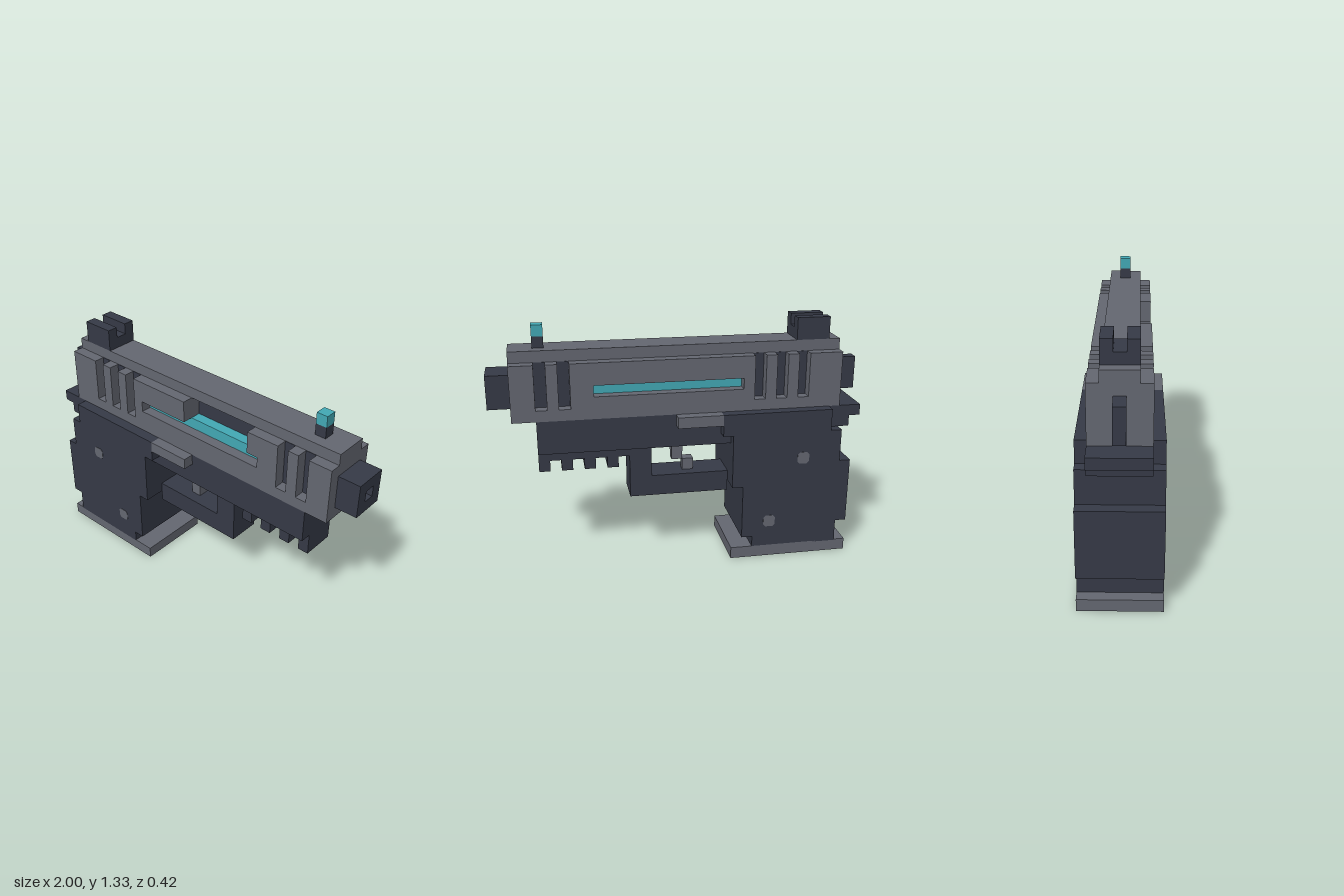
import * as THREE from 'three';

const gray = new THREE.MeshStandardMaterial({ color: 0x656872 });
gray.name = 'slideGray';
const dark = new THREE.MeshStandardMaterial({ color: 0x363a47 });
dark.name = 'frameDark';
const cyan = new THREE.MeshStandardMaterial({ color: 0x43aab6 });
cyan.name = 'accentCyan';

export function createModel() {
  const model = new THREE.Group();
  model.name = 'blockyPistol';

  const add = (name, geometry, material) => {
    const mesh = new THREE.Mesh(geometry, material);
    mesh.name = name;
    model.add(mesh);
    return mesh;
  };
  // Box given by its limits on each axis
  const box = (name, material, x0, x1, y0, y1, z0, z1) => {
    const mesh = add(name, new THREE.BoxGeometry(x1 - x0, y1 - y0, z1 - z0), material);
    mesh.position.set((x0 + x1) / 2, (y0 + y1) / 2, (z0 + z1) / 2);
    return mesh;
  };
  const toPoints = (list) => list.map(([x, y]) => new THREE.Vector2(x, y));
  const rect = (x0, x1, y0, y1) => toPoints([[x0, y0], [x1, y0], [x1, y1], [x0, y1]]);
  // Side profile extruded between two z planes
  const slab = (name, material, outline, z0, z1, holes = []) => {
    const shape = new THREE.Shape(outline);
    for (const hole of holes) shape.holes.push(new THREE.Path(hole));
    const geometry = new THREE.ExtrudeGeometry(shape, { depth: z1 - z0, bevelEnabled: false });
    geometry.translate(0, 0, z0);
    return add(name, geometry, material);
  };

  // Slide: core with the ejection port cut into its +z half
  const port = [-0.03, 0.39];
  const slot = [-0.34, 0.455, 0.97, 1.03];
  box('slideCore', gray, -0.88, 0.88, 0.85, 1.21, -0.09, 0.03);
  slab('slidePortLayer', gray, rect(-0.88, 0.88, 0.85, 1.21), 0.03, 0.09, [rect(...port, 1.0, 1.15)]);
  box('ejectionPortFloor', dark, ...port, 1.03, 1.15, 0.028, 0.034);
  box('lightStrip', cyan, ...slot, -0.092, 0.092);

  // Slide side plates with grip grooves and a slot for the light strip
  const rearGrooves = [-0.7, -0.58, -0.46];
  const frontGrooves = [0.575, 0.695];
  const grooveWidth = 0.06;
  const cut = (x) => [[x + grooveWidth, 1.15], [x + grooveWidth, 0.91], [x, 0.91], [x, 1.15]];
  const cutsRightToLeft = (list) => [...list].reverse().flatMap(cut);
  const portCut = [[0.39, 1.15], [0.39, 1.03], [0.455, 1.03], [0.455, 0.97],
    [-0.34, 0.97], [-0.34, 1.03], [-0.03, 1.03], [-0.03, 1.15]];
  const plateOutline = (middle) => toPoints([
    [-0.88, 0.85], [0.88, 0.85], [0.88, 1.15],
    ...cutsRightToLeft(frontGrooves), ...middle, ...cutsRightToLeft(rearGrooves),
    [-0.88, 1.15],
  ]);
  slab('slidePlatePortSide', gray, plateOutline(portCut), 0.09, 0.15);
  slab('slidePlatePlainSide', gray, plateOutline([]), -0.15, -0.09, [rect(...slot)]);
  for (const side of [1, -1]) {
    for (const x of [...rearGrooves, ...frontGrooves]) {
      const floor = box('grooveFloor', dark, x, x + grooveWidth, 0.91, 1.15, -0.002, 0.002);
      floor.position.z = side * 0.09;
    }
  }

  // Muzzle with a square bore, and hammer
  box('muzzleBase', dark, 0.88, 0.94, 0.91, 1.09, -0.09, 0.09);
  const muzzle = slab('muzzle', dark, rect(-0.09, 0.09, 0.91, 1.09), 0, 0.06, [rect(-0.03, 0.03, 0.97, 1.03)]);
  muzzle.rotation.y = Math.PI / 2;
  muzzle.position.x = 0.94;
  box('hammer', dark, -1.0, -0.88, 0.91, 1.09, -0.03, 0.03);

  // Sights
  box('rearSightBase', dark, -0.82, -0.64, 1.21, 1.27, -0.09, 0.09);
  box('rearSightPost', dark, -0.82, -0.64, 1.27, 1.33, 0.03, 0.09);
  box('rearSightPost', dark, -0.82, -0.64, 1.27, 1.33, -0.09, -0.03);
  box('frontSightBase', dark, 0.695, 0.755, 1.21, 1.27, -0.03, 0.03);
  box('frontSightTip', cyan, 0.695, 0.755, 1.27, 1.33, -0.03, 0.03);

  // Frame with stepped tang
  slab('frame', dark, toPoints([
    [-1.0, 0.85], [-1.0, 0.79], [-0.94, 0.79], [-0.94, 0.73], [-0.5, 0.73],
    [-0.5, 0.67], [0.755, 0.67], [0.755, 0.85],
  ]), -0.15, 0.15);

  // Stepped grip
  slab('grip', dark, toPoints([
    [-0.82, 0.85], [-0.82, 0.73], [-0.88, 0.73], [-0.88, 0.55], [-0.94, 0.55], [-0.94, 0.185],
    [-0.88, 0.185], [-0.88, 0.06], [-0.395, 0.06], [-0.395, 0.125], [-0.335, 0.125], [-0.335, 0.43],
    [-0.275, 0.43], [-0.275, 0.73], [-0.22, 0.73], [-0.22, 0.85],
  ]), -0.21, 0.21);
  box('magazinePlate', gray, -0.94, -0.275, 0, 0.065, -0.21, 0.21);

  // Slide stops and grip screws on both sides
  const r = 0.033, c = 0.02;
  const screwOutline = toPoints([[-c, -r], [c, -r], [r, -c], [r, c], [c, r], [-c, r], [-r, c], [-r, -c]]);
  for (const side of [1, -1]) {
    const stop = box('slideStop', gray, -0.22, 0.025, 0.79, 0.85, -0.03, 0.03);
    stop.position.z = side * 0.18;
    for (const [x, y] of [[-0.67, 0.58], [-0.49, 0.215]]) {
      const screw = slab('gripScrew', gray, screwOutline, -0.002, 0.002);
      screw.position.set(x, y, side * 0.21);
    }
  }

  // Trigger guard and toothed accessory rail in one profile
  const teeth = [0.33, 0.453, 0.575, 0.695].flatMap((x) => [
    [x, 0.61], [x, 0.55], [x + 0.06, 0.55], [x + 0.06, 0.61],
  ]);
  slab('guardAndRail', dark, toPoints([
    [-0.275, 0.37], [0.27, 0.37], [0.27, 0.61], ...teeth, [0.755, 0.67],
    [0.15, 0.67], [0.15, 0.485], [-0.275, 0.485],
  ]), -0.09, 0.09);

  // Trigger
  box('triggerTop', gray, -0.03, 0.03, 0.55, 0.67, -0.03, 0.03);
  box('triggerTip', gray, -0.09, -0.03, 0.485, 0.55, -0.03, 0.03);

  return model;
}
